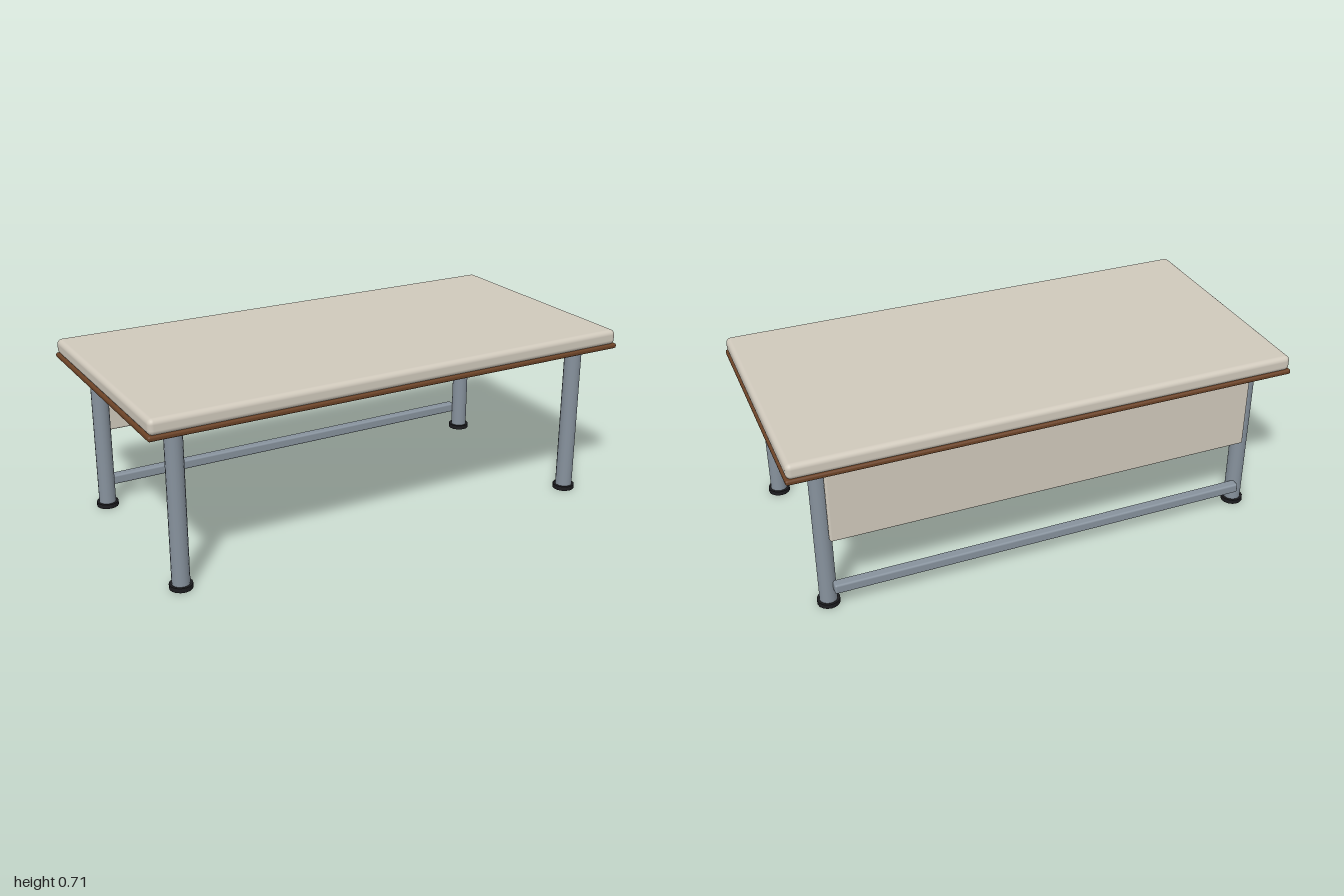
import * as THREE from 'three';
import { RoundedBoxGeometry } from 'three/addons/geometries/RoundedBoxGeometry.js';

export function createModel() {
  const model = new THREE.Group();
  model.name = 'table';

  const paint = (color, flatShading = false) => new THREE.MeshStandardMaterial({ color, flatShading });
  const cream = paint(0xd0c9bc);
  const wood = paint(0x6b4226);
  const steel = paint(0x87929d);
  const rubber = paint(0x1c1c1f, true);

  // Rounded slab given by its lower and upper corners
  function slab(name, [x0, y0, z0], [x1, y1, z1], radius, material) {
    const geometry = new RoundedBoxGeometry(x1 - x0, y1 - y0, z1 - z0, 3, radius);
    const mesh = new THREE.Mesh(geometry, material);
    mesh.name = name;
    mesh.position.set((x0 + x1) / 2, (y0 + y1) / 2, (z0 + z1) / 2);
    model.add(mesh);
  }

  // Upright cylinder from y0 to y1
  function post(name, radius, y0, y1, material) {
    const mesh = new THREE.Mesh(new THREE.CylinderGeometry(radius, radius, y1 - y0, 16), material);
    mesh.name = name;
    mesh.position.y = (y0 + y1) / 2;
    return mesh;
  }

  // Top: thick slab resting on a thin wooden board
  slab('tabletop', [-0.995, 0.645, -0.497], [0.995, 0.706, 0.497], 0.02, cream);
  slab('baseBoard', [-1, 0.629, -0.5], [1, 0.649, 0.5], 0.008, wood);

  // Panel and foot rail across the back legs
  slab('modestyPanel', [-0.855, 0.31, -0.445], [0.855, 0.615, -0.42], 0.009, cream);
  slab('footRail', [-0.855, 0.072, -0.45], [0.855, 0.112, -0.41], 0.008, steel);

  // Four legs with feet
  for (const [side, sx] of [['left', 1], ['right', -1]]) {
    for (const [end, sz] of [['Front', 1], ['Back', -1]]) {
      const leg = new THREE.Group();
      leg.name = `${side}${end}Leg`;
      leg.position.set(sx * 0.87, 0, sz * 0.39);
      leg.add(post('legTube', 0.034, 0.01, 0.625, steel));
      leg.add(post('foot', 0.044, 0, 0.018, rubber));
      model.add(leg);
    }
  }

  return model;
}
